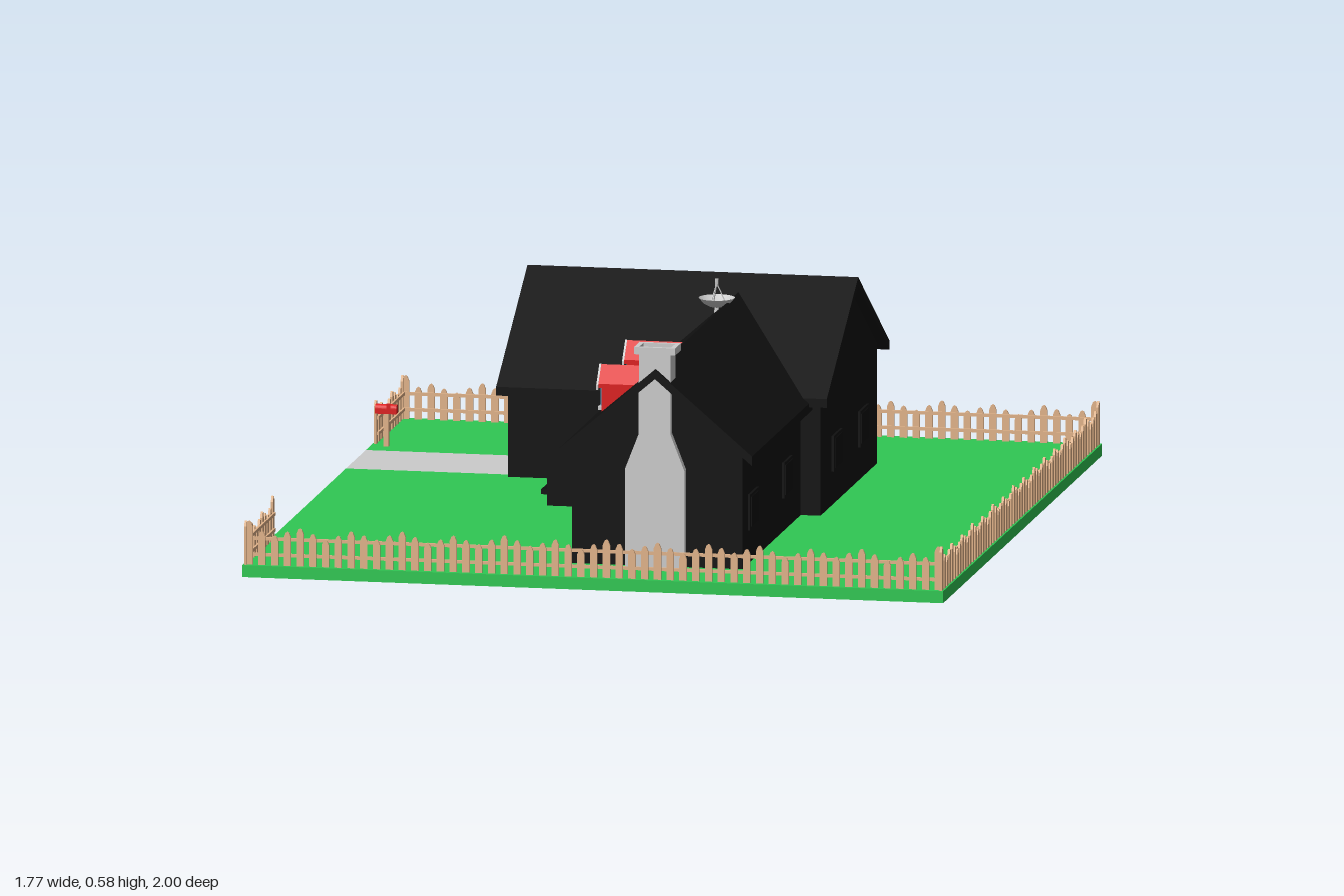
import * as THREE from 'three';
import { mergeGeometries } from 'three/addons/utils/BufferGeometryUtils.js';

const mat = (color, side = THREE.FrontSide) =>
  new THREE.MeshStandardMaterial({ color, side, flatShading: true });
const GREY = mat(0xcccccc), BLACK = mat(0x101010), DARK = mat(0x0b0b0b), GRASS = mat(0x30c853);
const RED = mat(0xdd1f1f), WOOD = mat(0xe2b48a), BLUE = mat(0x4f9fc4);

const polygon = pts => new THREE.Shape(pts.map(p => new THREE.Vector2(...p)));
const extrude = (shape, depth) =>
  new THREE.ExtrudeGeometry(shape, { depth, bevelEnabled: false, curveSegments: 8 });

function add(parent, name, geometry, material, x = 0, y = 0, z = 0) {
  const mesh = new THREE.Mesh(geometry, material);
  mesh.name = name;
  mesh.position.set(x, y, z);
  parent.add(mesh);
  return mesh;
}

// Box given by its lower and upper limits on each axis
function block(parent, name, material, [x0, x1], [y0, y1], [z0, z1]) {
  return add(parent, name, new THREE.BoxGeometry(x1 - x0, y1 - y0, z1 - z0), material,
    (x0 + x1) / 2, (y0 + y1) / 2, (z0 + z1) / 2);
}

// Symmetric cross-section run along z, or along x, from a to b; c is the middle of the section
function prism(parent, name, material, pts, alongX, c, a, b) {
  const mesh = add(parent, name, extrude(polygon(pts), b - a), material);
  if (alongX) {
    mesh.rotation.y = Math.PI / 2;
    mesh.position.set(a, 0, c);
  } else mesh.position.set(c, 0, a);
  return mesh;
}
const wallSection = (w, base, eave, ridge) => [[-w, base], [w, base], [w, eave], [0, ridge], [-w, eave]];
const roofSection = (w, eave, ridge, t) =>
  [[-w, eave - t], [0, ridge - t], [w, eave - t], [w, eave], [0, ridge], [-w, eave]];

// One fence side: pointed pickets with gently waving tops, and two rails
function fenceRun(parent, name, length, x, z, turned) {
  const parts = [];
  const n = Math.round(length / 0.0322);
  for (let i = 0; i <= n; i++) {
    const end = i === 0 || i === n;
    const h = end ? 0.11 : 0.083 + 0.011 * Math.cos(i * 1.57) + 0.003 * Math.sin(i * 0.7);
    const w = 0.009;
    const g = extrude(polygon([[-w, 0], [w, 0], [w, h - 0.014], [w * 0.5, h - 0.003], [0, h],
      [-w * 0.5, h - 0.003], [-w, h - 0.014]]), 0.006);
    g.translate(-length / 2 + (i * length) / n, 0.03, -0.003);
    parts.push(g);
  }
  for (const y of [0.055, 0.095]) {
    const rail = new THREE.BoxGeometry(length, 0.008, 0.005).toNonIndexed();
    rail.translate(0, y, -0.005);
    parts.push(rail);
  }
  const mesh = add(parent, name, mergeGeometries(parts), WOOD, x, 0, z);
  if (turned) mesh.rotation.y = turned;
}

function dormer(parent, z) {
  const g = new THREE.Group();
  g.name = 'dormer';
  prism(g, 'dormerBody', RED, wallSection(0.03, 0.37, 0.45, 0.485), true, 0, -0.05, 0.07);
  prism(g, 'dormerRoof', RED, roofSection(0.037, 0.452, 0.495, 0.01), true, 0, -0.056, 0.085);
  // Pale frame and glass on the outer end
  prism(g, 'dormerFrame', GREY, roofSection(0.04, 0.449, 0.496, 0.012), true, 0, -0.061, -0.056);
  block(g, 'dormerSill', GREY, [-0.058, -0.05], [0.385, 0.394], [-0.03, 0.03]);
  block(g, 'dormerWindow', BLUE, [-0.054, -0.05], [0.394, 0.45], [-0.02, 0.02]);
  block(g, 'dormerMullion', GREY, [-0.056, -0.05], [0.394, 0.45], [-0.002, 0.002]);
  g.position.z = z;
  parent.add(g);
}

// Window with a raised surround, set on a wall facing x (dir is the way it faces)
function sideWindow(parent, x, dir, z, y = 0.16) {
  block(parent, 'windowFrame', BLACK, [x - 0.006, x + 0.006], [y - 0.045, y + 0.045], [z - 0.055, z + 0.055]);
  add(parent, 'windowPane', new THREE.BoxGeometry(0.004, 0.075, 0.09), DARK, x + dir * 0.006, y, z);
}

export function createModel() {
  const root = new THREE.Group();
  root.name = 'houseAndGarden';

  // Lawn, notched for the driveway
  const lawn = add(root, 'lawn', extrude(polygon([[-0.885, -1], [0.885, -1], [0.885, 1], [-0.885, 1],
    [-0.885, 0.56], [-0.17, 0.56], [-0.17, 0.31], [-0.885, 0.31]]), 0.03), GRASS);
  lawn.rotation.x = -Math.PI / 2;
  block(root, 'driveway', GREY, [-0.885, -0.17], [0, 0.03], [-0.56, -0.31]);

  const house = new THREE.Group();
  house.name = 'house';
  root.add(house);

  // Main block, ridge along x
  prism(house, 'mainWalls', BLACK, wallSection(0.355, 0.02, 0.34, 0.55), true, -0.28, -0.3, 0.39);
  prism(house, 'mainRoof', BLACK, roofSection(0.395, 0.333, 0.567, 0.022), true, -0.275, -0.42, 0.415);

  // Front wing, ridge along z and running back into the main roof
  prism(house, 'wingWalls', BLACK, wallSection(0.215, 0.02, 0.325, 0.51), false, 0.125, -0.09, 0.81);
  prism(house, 'wingRoof', BLACK, roofSection(0.245, 0.32, 0.53, 0.024), false, 0.125, -0.22, 0.838);

  // Garage facing the driveway
  prism(house, 'garageWalls', BLACK, wallSection(0.155, 0.02, 0.265, 0.368), true, -0.435, -0.47, 0.07);
  prism(house, 'garageRoof', BLACK, roofSection(0.185, 0.262, 0.38, 0.018), true, -0.435, -0.49, -0.25);
  block(house, 'garageDoor', DARK, [-0.474, -0.46], [0.03, 0.2], [-0.55, -0.32]);
  for (let i = 1; i < 4; i++)
    block(house, 'garageDoorSeam', BLACK, [-0.476, -0.46], [0.03 + i * 0.042, 0.034 + i * 0.042], [-0.55, -0.32]);

  // Doors, step and windows
  block(house, 'entranceStep', BLACK, [-0.345, -0.29], [0.02, 0.042], [-0.17, -0.07]);
  block(house, 'entranceDoor', DARK, [-0.306, -0.29], [0.042, 0.21], [-0.155, -0.085]);
  for (const z of [0.685, 0.255]) {
    sideWindow(house, 0.34, 1, z);
    sideWindow(house, -0.09, -1, z);
  }
  for (const z of [-0.12, -0.45]) sideWindow(house, 0.39, 1, z);
  for (const x of [-0.1, 0.2])
    block(house, 'backWindow', DARK, [x - 0.055, x + 0.055], [0.115, 0.205], [-0.64, -0.63]);

  dormer(house, 0.285);
  dormer(house, 0.61);

  // Chimney: shouldered breast on the gable, stack through the roof, hollow cap
  const chimney = new THREE.Group();
  chimney.name = 'chimney';
  house.add(chimney);
  prism(chimney, 'chimneyBreast', GREY, [[-0.075, 0.02], [0.075, 0.02], [0.075, 0.276], [0.04, 0.366],
    [0.04, 0.5], [-0.04, 0.5], [-0.04, 0.366], [-0.075, 0.276]], false, 0.123, 0.8, 0.832);
  block(chimney, 'chimneyStack', GREY, [0.083, 0.163], [0.4, 0.57], [0.767, 0.828]);
  const rim = polygon([[-0.052, -0.036], [0.052, -0.036], [0.052, 0.036], [-0.052, 0.036]]);
  rim.holes.push(polygon([[-0.04, -0.025], [-0.04, 0.025], [0.04, 0.025], [0.04, -0.025]]));
  const cap = add(chimney, 'chimneyCap', extrude(rim, 0.018), GREY, 0.123, 0.566, 0.797);
  cap.rotation.x = -Math.PI / 2;

  // Satellite dish on the ridge
  const dish = new THREE.Group();
  dish.name = 'satelliteDish';
  dish.position.set(0.095, 0.512, -0.09);
  house.add(dish);
  const bowl = [[0, 0], [0.018, 0.004], [0.034, 0.013], [0.045, 0.026]].map(p => new THREE.Vector2(...p));
  const dishMat = new THREE.MeshStandardMaterial({ color: 0xcccccc, side: THREE.DoubleSide });
  add(dish, 'dishBowl', new THREE.LatheGeometry(bowl, 24), dishMat);
  add(dish, 'dishMount', new THREE.CylinderGeometry(0.006, 0.008, 0.04, 8), GREY, 0, -0.018, 0);
  const feed = new THREE.Vector3(0, 0.062, 0);
  for (let i = 0; i < 3; i++) {
    const a = (i * Math.PI * 2) / 3;
    const foot = new THREE.Vector3(Math.cos(a) * 0.025, 0.009, Math.sin(a) * 0.025);
    add(dish, 'feedArm', new THREE.TubeGeometry(new THREE.LineCurve3(foot, feed), 1, 0.0015, 5), GREY);
  }
  add(dish, 'feedHorn', new THREE.CylinderGeometry(0.005, 0.004, 0.018, 8), GREY, 0, 0.064, 0);

  // Picket fence, open along the driveway side
  const fence = new THREE.Group();
  fence.name = 'fence';
  root.add(fence);
  const quarter = Math.PI / 2;
  fenceRun(fence, 'frontFence', 1.74, 0, 0.985, 0);
  fenceRun(fence, 'backFence', 1.74, 0, -0.985, Math.PI);
  fenceRun(fence, 'leftFence', 1.97, 0.878, 0, quarter);
  fenceRun(fence, 'rightFrontFence', 0.335, -0.878, 0.8175, -quarter);
  fenceRun(fence, 'rightBackFence', 0.335, -0.878, -0.8175, -quarter);

  // Mailbox: arched box on a post
  const mailbox = new THREE.Group();
  mailbox.name = 'mailbox';
  mailbox.position.set(-0.845, 0, -0.62);
  root.add(mailbox);
  block(mailbox, 'mailboxPost', WOOD, [-0.006, 0.006], [0.02, 0.114], [-0.006, 0.006]);
  const arch = polygon([[-0.011, 0.113], [0.011, 0.113], [0.011, 0.125]]);
  arch.absarc(0, 0.125, 0.011, 0, Math.PI, false);
  const box = add(mailbox, 'mailboxBody', extrude(arch, 0.054), RED, -0.027);
  box.rotation.y = quarter;
  block(mailbox, 'mailboxFlag', RED, [0.002, 0.012], [0.122, 0.14], [0.011, 0.013]);
  return root;
}
